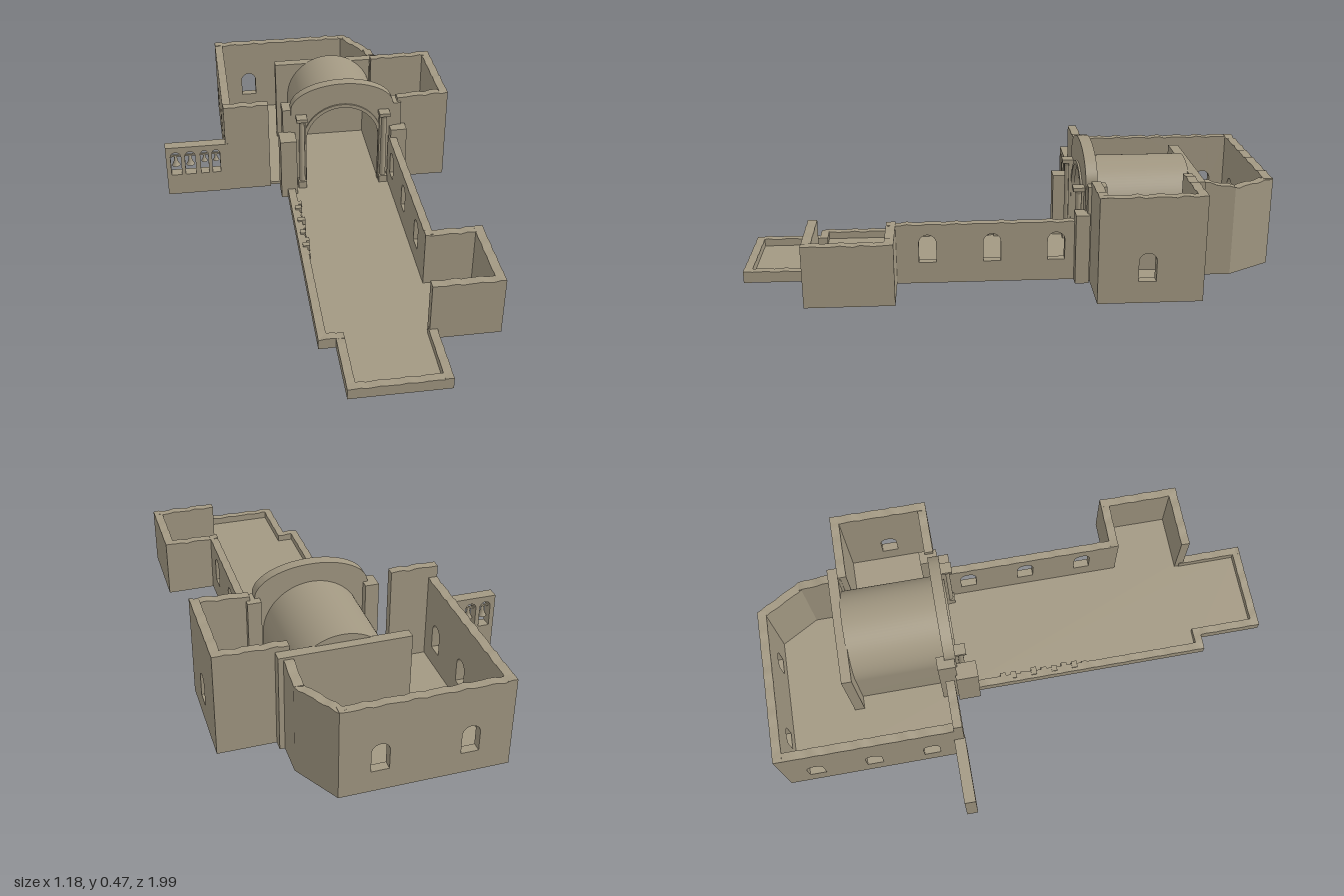
import * as THREE from 'three';
import { toCreasedNormals } from 'three/addons/utils/BufferGeometryUtils.js';

const stone = new THREE.MeshStandardMaterial({ color: 0xa29882 });
stone.name = 'sandstone';

export function createModel() {
  const model = new THREE.Group();
  model.name = 'ruinedChurch';
  const plan = new THREE.Group(); // everything is laid out square, then turned slightly
  plan.name = 'plan';
  plan.rotation.y = -0.096;
  model.add(plan);

  const add = (name, geo, x = 0, y = 0, z = 0, parent = plan) => {
    const m = new THREE.Mesh(geo, stone);
    m.name = name;
    m.position.set(x, y, z);
    parent.add(m);
    return m;
  };
  const box = (name, x0, x1, y0, y1, z0, z1) =>
    add(name, new THREE.BoxGeometry(x1 - x0, y1 - y0, z1 - z0), (x0 + x1) / 2, (y0 + y1) / 2, (z0 + z1) / 2);
  const extrude = (shape, depth) =>
    toCreasedNormals(new THREE.ExtrudeGeometry(shape, { depth, bevelEnabled: false, curveSegments: 24 }), 0.5);

  // Round-headed opening
  const archHole = (s, hw, y0, y1) => {
    const p = new THREE.Path();
    p.moveTo(s - hw, y0);
    p.lineTo(s + hw, y0);
    p.lineTo(s + hw, y1 - hw);
    p.absarc(s, y1 - hw, hw, 0, Math.PI, false);
    p.closePath();
    return p;
  };

  // Wall with a crumbling top; p to q is the outer face, outside lying on its right-hand side
  const wall = (name, p, q, h0, h1, { t = 0.033, windows = [], rough = 0.004 } = {}) => {
    const dx = q[0] - p[0], dz = q[1] - p[1], len = Math.hypot(dx, dz);
    const shape = new THREE.Shape();
    shape.moveTo(0, 0);
    shape.lineTo(len, 0);
    const n = Math.max(2, Math.round(len / 0.022));
    for (let i = n; i >= 0; i--) {
      const k = i / n, s = k * len;
      const wave = 0.6 * Math.sin(s * 75 + p[0] * 9) + 0.4 * Math.sin(s * 171 + p[1] * 7);
      shape.lineTo(s, h0 + (h1 - h0) * k + rough * (wave - 0.3));
    }
    for (const s of windows) shape.holes.push(archHole(s, 0.031, 0.08, 0.185));
    const geo = extrude(shape, t);
    geo.translate(0, 0, -t);
    const m = add(name, geo, p[0], 0, p[1]);
    m.rotation.y = Math.atan2(-dz, dx);
  };

  // Floor slab over the whole footprint
  const outline = [[-0.375, -0.29], [-0.375, -0.96], [0.2, -0.96], [0.295, -0.8], [0.295, -0.64], [0.52, -0.64],
    [0.52, -0.29], [0.305, -0.29], [0.305, 0.42], [0.488, 0.42], [0.488, 0.72], [0.262, 0.72], [0.262, 0.962],
    [-0.076, 0.962], [-0.076, 0.72], [-0.136, 0.72], [-0.136, -0.29]];
  const floor = extrude(new THREE.Shape(outline.map(([x, z]) => new THREE.Vector2(x, -z))), 0.012);
  floor.rotateX(-Math.PI / 2);
  add('floor', floor, 0, 0.001, 0);

  // Low ruined walls of the nave and porch
  const low = { t: 0.03, rough: 0.003 };
  wall('naveLeftWall', [-0.141, -0.19], [-0.141, 0.725], 0.041, 0.041, low);
  wall('naveFrontLeftWall', [-0.141, 0.725], [-0.051, 0.725], 0.041, 0.041, low);
  wall('porchLeftWall', [-0.081, 0.725], [-0.081, 0.967], 0.041, 0.041, low);
  wall('porchFrontWall', [-0.081, 0.967], [0.267, 0.967], 0.041, 0.043, low);
  wall('porchRightWall', [0.267, 0.967], [0.267, 0.71], 0.043, 0.041, low);
  for (let i = 0; i < 9; i++) {
    const z = -0.1 + i * 0.041;
    box('fallenStone', -0.128, -0.098 - (i % 3) * 0.004, 0.01, 0.038 + (i % 2) * 0.008, z, z + 0.022);
  }

  // Side chapel and tall right wall of the nave
  wall('chapelFrontWall', [0.24, 0.727], [0.493, 0.727], 0.227, 0.225);
  wall('chapelRightWall', [0.493, 0.727], [0.493, 0.414], 0.225, 0.225);
  wall('chapelBackWall', [0.493, 0.414], [0.279, 0.414], 0.225, 0.225);
  wall('naveRightWall', [0.309, 0.44], [0.309, -0.25], 0.225, 0.225,
    { t: 0.03, windows: [0.138, 0.369, 0.6], rough: 0.003 });

  // Choir
  wall('choirFrontWall', [-0.381, -0.28], [-0.203, -0.28], 0.385, 0.385);
  wall('choirLeftWall', [-0.381, -0.969], [-0.381, -0.28], 0.335, 0.338, { windows: [0.12, 0.34, 0.56] });
  wall('choirBackWall', [0.206, -0.969], [-0.381, -0.969], 0.335, 0.335, { windows: [0.138, 0.443] });
  wall('choirCornerWall', [0.301, -0.804], [0.206, -0.969], 0.335, 0.335);
  wall('choirRightWall', [0.301, -0.64], [0.301, -0.804], 0.368, 0.337);

  // Right side room
  wall('sideRoomFrontWall', [0.318, -0.28], [0.525, -0.28], 0.378, 0.387);
  wall('sideRoomRightWall', [0.525, -0.28], [0.525, -0.65], 0.387, 0.388, { windows: [0.172] });
  wall('sideRoomBackWall', [0.525, -0.65], [0.27, -0.65], 0.388, 0.385);

  // Barrel vault on straight legs, closed by a cross wall
  const cx = 0.092, spring = 0.215;
  const band = (outer, inner) => {
    const s = new THREE.Shape();
    s.moveTo(outer, 0);
    s.lineTo(outer, spring);
    s.absarc(0, spring, outer, 0, Math.PI, false);
    s.lineTo(-outer, 0);
    s.lineTo(-inner, 0);
    s.lineTo(-inner, spring);
    s.absarc(0, spring, inner, Math.PI, 0, true);
    s.lineTo(inner, 0);
    return s;
  };
  add('barrelVault', extrude(band(0.18, 0.15), 0.37), cx, 0, -0.655);
  box('crossWall', -0.138, 0.319, 0, 0.366, -0.688, -0.65);

  // Triumphal arch with a curved gable
  const gable = new THREE.Shape();
  gable.moveTo(0.207, 0);
  gable.lineTo(0.207, 0.36);
  gable.absellipse(0, 0.36, 0.207, 0.106, 0, Math.PI, false, 0);
  gable.lineTo(-0.207, 0);
  gable.lineTo(-0.152, 0);
  gable.lineTo(-0.152, spring);
  gable.absarc(0, spring, 0.152, Math.PI, 0, true);
  gable.lineTo(0.152, 0);
  add('triumphalArch', extrude(gable, 0.042), cx, 0, -0.305);
  add('archMoulding', extrude(band(0.161, 0.147), 0.014), cx, 0, -0.27);

  // Piers, buttresses and columns on both sides of the arch
  for (const side of [-1, 1]) {
    const span = (a, b) => [Math.min(cx + side * a, cx + side * b), Math.max(cx + side * a, cx + side * b)];
    box('archPier', ...span(0.19, 0.24), 0, 0.36, -0.335, -0.268);
    box('lowPier', ...span(0.193, 0.258), 0, 0.26, -0.275, side < 0 ? -0.19 : -0.225);
    const column = new THREE.Group();
    column.name = 'column';
    column.position.set(cx + side * 0.167, 0, -0.243);
    plan.add(column);
    add('columnShaft', new THREE.CylinderGeometry(0.0105, 0.012, 0.29, 16), 0, 0.185, 0, column);
    add('columnBase', new THREE.BoxGeometry(0.034, 0.036, 0.034), 0, 0.025, 0, column);
    add('columnNeck', new THREE.CylinderGeometry(0.017, 0.0105, 0.014, 16), 0, 0.319, 0, column);
    add('columnCapital', new THREE.BoxGeometry(0.043, 0.014, 0.043), 0, 0.332, 0, column);
    add('columnPilaster', new THREE.BoxGeometry(0.012, 0.32, 0.022), -side * 0.012, 0.165, -0.014, column);
  }

  // Bell wall with four arched openings and a bell in each
  const bellWall = new THREE.Shape();
  bellWall.moveTo(-0.622, 0);
  bellWall.lineTo(-0.37, 0);
  bellWall.lineTo(-0.37, 0.22);
  bellWall.lineTo(-0.622, 0.22);
  const profile = [[0, 0.042], [0.005, 0.04], [0.007, 0.024], [0.011, 0.01], [0.017, 0]]
    .map(([r, y]) => new THREE.Vector2(r, y)).reverse();
  for (const [x, hw, scale] of [[-0.583, 0.021, 1], [-0.525, 0.021, 1], [-0.468, 0.016, 0.75], [-0.421, 0.016, 0.75]]) {
    bellWall.holes.push(archHole(x, hw, 0.092, 0.197));
    box('bellBeam', x - hw - 0.003, x + hw + 0.003, 0.167, 0.174, -0.302, -0.294);
    const bell = add('bell', new THREE.LatheGeometry(profile, 16), x, 0.17 - 0.042 * scale, -0.298);
    bell.scale.set(scale, scale, scale);
    const base = add('bellMouth', new THREE.CircleGeometry(0.017 * scale, 16), x, 0.17 - 0.042 * scale, -0.298);
    base.rotation.x = Math.PI / 2;
  }
  add('bellWall', extrude(bellWall, 0.042), 0, 0, -0.319);

  return model;
}
